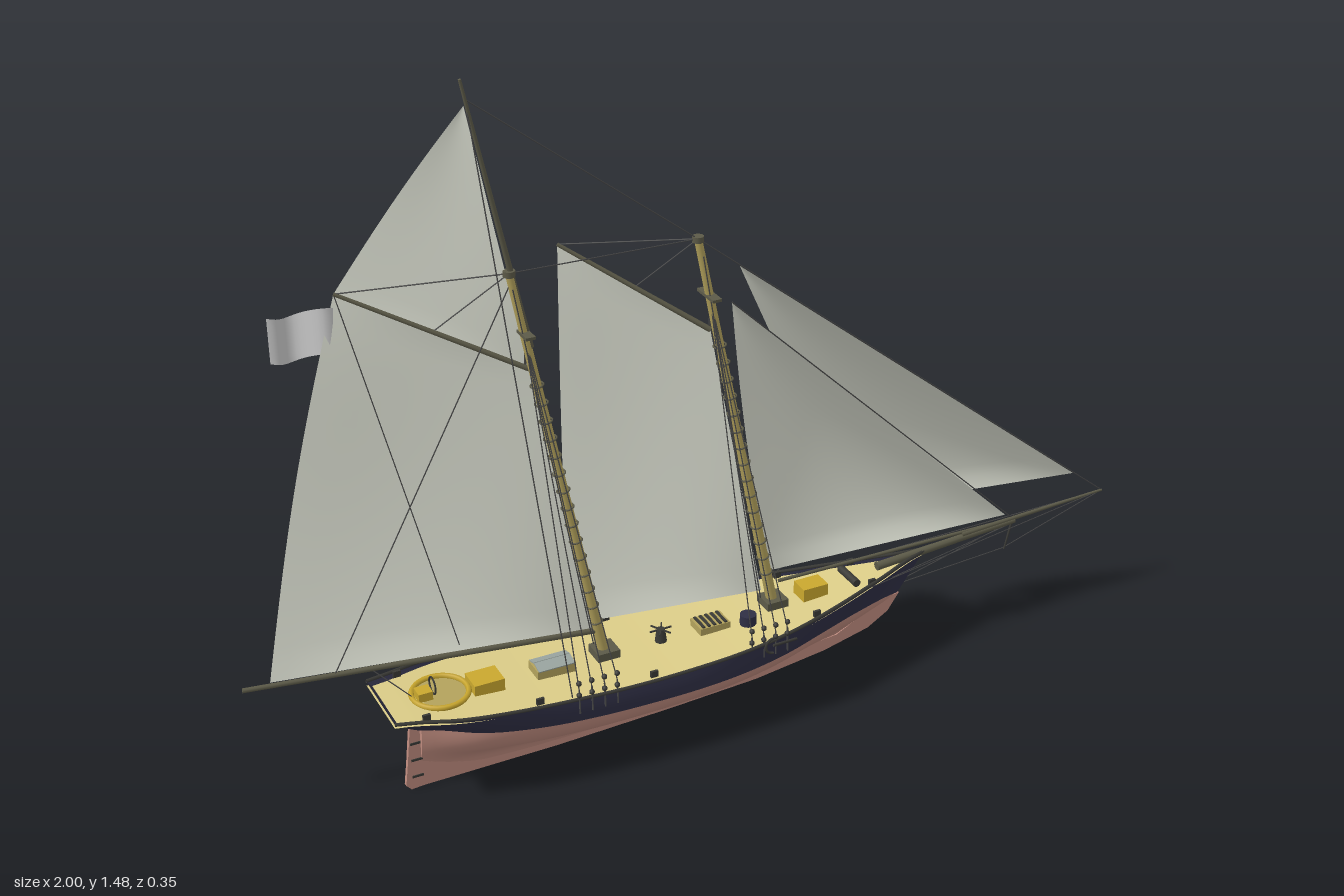
import * as THREE from 'three';

const V = (x, y, z = 0) => new THREE.Vector3(x, y, z);
const mat = (color) => new THREE.MeshStandardMaterial({ color, side: THREE.DoubleSide });
const lerp = THREE.MathUtils.lerp;
const M = {
  navy: mat(0x2f2f45), bottom: mat(0xbd8a7d), deck: mat(0xdccd88), spar: mat(0xb3a25c),
  darkSpar: mat(0x5c5a48), sail: mat(0xdcdfd2), rope: mat(0x4a4a4a), gold: mat(0xc9a72e),
  dark: mat(0x3a3a36), glass: mat(0x9aa5a0), grey: mat(0xcccccc),
};

// Smooth curve through evenly spaced values
function profile(values) {
  const c = new THREE.SplineCurve(values.map((v, i) => new THREE.Vector2(i, v)));
  return (t) => c.getPoint(t).y;
}

// Hull lines from stern (0) to bow (1)
const deckHalf = profile([.085, .118, .131, .137, .141, .140, .135, .118, .085, .045, .004]);
const waterHalf = profile([.018, .085, .12, .136, .142, .142, .132, .108, .07, .032, .003]);
const sheer = profile([.225, .215, .206, .2, .197, .197, .2, .206, .213, .223, .235]);
const keelY = profile([.03, .024, .02, .02, .022, .026, .03, .038, .052, .075, .125]);
const section = profile([.05, .12, .33, .62, .82, .94, 1]);
const WATER = 0.145;

export function createModel() {
  const root = new THREE.Group();
  root.name = 'schooner';
  const ship = new THREE.Group();
  ship.name = 'ship';
  ship.position.z = 0.043;
  root.add(ship);

  function add(name, geo, material, pos) {
    const m = new THREE.Mesh(geo, material);
    m.name = name;
    if (pos) m.position.copy(pos);
    ship.add(m);
    return m;
  }
  function surface(name, nu, nv, material, fn) {
    const g = new THREE.PlaneGeometry(1, 1, nu, nv);
    const p = g.attributes.position;
    for (let i = 0; i < p.count; i++) {
      const q = fn(p.getX(i) + 0.5, p.getY(i) + 0.5);
      p.setXYZ(i, q.x, q.y, q.z);
    }
    g.computeVertexNormals();
    return add(name, g, material);
  }
  function spar(name, a, b, r0, r1, material = M.spar, sides = 10) {
    const m = add(name, new THREE.CylinderGeometry(r1, r0, a.distanceTo(b), sides), material,
      a.clone().lerp(b, 0.5));
    m.quaternion.setFromUnitVectors(V(0, 1, 0), b.clone().sub(a).normalize());
    return m;
  }
  const rope = (name, a, b, r = 0.0013) => spar(name, a, b, r, r, M.rope, 4);
  const box = (name, x, y, z, w, h, d, material) =>
    add(name, new THREE.BoxGeometry(w, h, d), material, V(x, y, z));

  // Hull skin, raked at both ends
  const hullX = (s, y) => {
    const up = Math.max(0, y - WATER);
    const stern = -0.67 - up * 0.94;
    const stem = 0.455 + (y > WATER ? up * 0.72 : (y - WATER) * 0.7);
    return lerp(stern, stem, s);
  };
  const topside = (s, v) => {
    const y = lerp(WATER, sheer(s), v);
    const w = lerp(waterHalf(s), deckHalf(s), v) + 0.004 * Math.sin(Math.PI * v) * (1 - s);
    return V(hullX(s, y), y, w);
  };
  const underbody = (s, v) => {
    const y = lerp(keelY(s), WATER, v);
    return V(hullX(s, y), y, waterHalf(s) * section(v));
  };
  const flip = (p, k) => V(p.x, p.y, p.z * k);
  for (const k of [1, -1]) {
    const dir = (u) => (k > 0 ? u : 1 - u);
    surface('topsides', 48, 6, M.navy, (u, v) => flip(topside(dir(u), v), k));
    surface('underbody', 48, 12, M.bottom, (u, v) => flip(underbody(dir(u), v), k));
    // Rail cap
    const rail = Array.from({ length: 25 }, (_, i) => flip(topside(i / 24, 1), k));
    add('rail', new THREE.TubeGeometry(new THREE.CatmullRomCurve3(rail), 48, 0.004, 6), M.dark);
  }
  surface('transom', 4, 6, M.navy, (u, v) => flip(topside(0, v), 1 - 2 * u));
  surface('sternPost', 2, 6, M.bottom, (u, v) => flip(underbody(0, v), 1 - 2 * u));
  surface('deck', 48, 4, M.deck, (u, v) => {
    const p = topside(u, 1);
    return V(p.x, p.y - 0.010, (1 - 2 * v) * p.z * 0.98);
  });

  // Keel and rudder plates
  function plate(name, pts, depth, material) {
    const shape = new THREE.Shape(pts.map(([x, y]) => new THREE.Vector2(x, y)));
    add(name, new THREE.ExtrudeGeometry(shape, { depth, bevelEnabled: false }), material, V(0, 0, -depth / 2));
  }
  plate('keel', [[-.68, .002], [-.37, .004], [-.1, .014], [.1, .025], [.27, .048], [.38, .075], [.43, .105],
    [.458, .145], [.42, .14], [.3, .08], [0, .05], [-.5, .05], [-.675, .1]], 0.010, M.bottom);
  plate('rudder', [[-.67, .002], [-.695, 0], [-.706, .012], [-.7, .06], [-.69, .15], [-.66, .15]], 0.010, M.bottom);
  for (const y of [0.03, 0.07, 0.11]) box('rudderHinge', -0.68, y, 0, 0.024, 0.005, 0.014, M.dark);

  // Masts, bowsprit, gaffs and boom
  const mainFoot = V(-.257, .19), mainHead = V(-.432, 1.09);
  const foreFoot = V(.141, .2), foreHead = V(-.037, 1.085);
  const topFoot = V(-.395, .93), topHead = V(-.51, 1.48);
  const mainPeak = V(-.727, 1.048, -.15), forePeak = V(-.27, 1.062, -.15);
  const mainThroat = V(-.395, .88, -.01), foreThroat = V(-.005, .88, -.01);
  const boomEnd = V(-1, .295, -.062), spritEnd = V(1, .265);
  spar('mainMast', mainFoot, mainHead, .012, .008);
  spar('foreMast', foreFoot, foreHead, .012, .008);
  spar('topMast', topFoot, topHead, .007, .003, M.darkSpar);
  spar('bowsprit', V(.40, .225), V(.76, .248), .010, .007, M.darkSpar);
  spar('jibBoom', V(.62, .247), spritEnd, .006, .003, M.darkSpar);
  spar('mainBoom', V(-.275, .258), boomEnd, .007, .005, M.darkSpar);
  spar('mainGaff', mainThroat, mainPeak, .006, .004, M.darkSpar);
  spar('foreGaff', foreThroat, forePeak, .006, .004, M.darkSpar);
  spar('jibClub', V(.16, .25, -.01), V(.76, .252), .004, .004, M.darkSpar);

  for (const [foot, head] of [[mainFoot, mainHead], [foreFoot, foreHead]]) {
    const dir = head.clone().sub(foot).normalize();
    // Sail hoops
    for (let i = 0; i < 15; i++) {
      const h = add('mastHoop', new THREE.TorusGeometry(.013, .002, 5, 12), M.darkSpar,
        foot.clone().lerp(head, .1 + i * .045));
      h.quaternion.setFromUnitVectors(V(0, 0, 1), dir);
    }
    add('mastCap', new THREE.CylinderGeometry(.012, .012, .012, 10), M.darkSpar, head);
    const c = foot.clone().lerp(head, .86);
    box('crosstree', c.x, c.y, 0, .02, .006, .07, M.darkSpar);
    box('mastCollar', foot.x, foot.y + .012, 0, .05, .018, .05, M.darkSpar);
    // Shrouds with deadeyes
    for (const k of [1, -1]) for (let i = 0; i < 4; i++) {
      const z = (foot === mainFoot ? .139 : .128) * k;
      const low = V(foot.x - .035 - i * .028, .225, z);
      rope('shroud', low, foot.clone().lerp(head, .85));
      rope('chainplate', V(low.x, .17, z * 1.02), low, .002);
      for (const y of [.212, .24]) add('deadeye', new THREE.SphereGeometry(.006, 8, 6), M.dark, V(low.x, y, z));
    }
  }

  // Sails: corners tack, clew, peak, throat; leech bow and belly push to leeward
  function sail(name, tack, clew, peak, throat, bow, belly, hollow = 0) {
    surface(name, 20, 24, M.sail, (u, v) => {
      const p = tack.clone().lerp(clew, u).lerp(throat.clone().lerp(peak, u), v);
      const sv = Math.sin(Math.PI * v);
      p.z -= bow * u * sv + belly * Math.sin(Math.PI * u) * Math.sqrt(Math.max(0, sv)) * (1 - v * .5);
      p.x += hollow * u * sv;
      return p;
    });
  }
  const topsailHead = V(-.505, 1.43);
  const jibHead = V(.055, 1.01), stayHead = V(.038, .935);
  sail('mainSail', V(-.283, .265), V(-.945, .298, -.06), mainPeak, mainThroat, .035, .03);
  sail('foreSail', V(.112, .245), V(-.31, .245, -.062), forePeak, foreThroat, .035, .025, .012);
  sail('topSail', mainThroat, mainPeak, topsailHead, topsailHead, .03, .01, .012);
  sail('innerJib', V(.735, .268), V(.145, .268, -.03), stayHead, stayHead, .02, .045);
  sail('outerJib', V(.915, .33), V(.4, .33, -.085), jibHead, jibHead, .02, .04);

  // Flag at the gaff peak
  surface('flag', 14, 6, M.grey, (u, v) => V(-.725 - u * .12,
    lerp(.925, 1.02, v) - u * .025 + .008 * Math.sin(u * 7), -.15 - u * .065 + .012 * Math.sin(u * 8)));

  // Standing and running rigging
  const pairs = [
    [V(-.5, 1.44), foreHead], [mainHead, foreHead], [foreHead, spritEnd], [stayHead, V(.76, .25)],
    [V(-.43, 1.07), V(-.82, .285, -.045)], [mainPeak, V(-.56, .28, -.03)],
    [mainHead, mainPeak], [mainHead, mainPeak.clone().lerp(mainThroat, .5)],
    [foreHead, forePeak], [foreHead, forePeak.clone().lerp(foreThroat, .5)],
    [V(-.43, 1.06, .01), V(-.29, .24, .02)], [V(-.03, 1.05, .01), V(.1, .24, .02)],
    [V(-.75, .285, -.04), V(-.68, .22)], [V(.4, .33, -.085), V(.2, .22, -.09)],
    [spritEnd, V(.735, .182)], [V(.735, .182), V(.47, .165)], [V(.76, .247), V(.475, .175)],
  ];
  pairs.forEach(([a, b]) => rope('rigging', a, b));
  spar('dolphinStriker', V(.755, .248), V(.738, .178), .003, .002, M.dark, 6);
  for (const k of [1, -1]) {
    rope('bowspritGuy', spritEnd, V(.33, .215, .06 * k));
    rope('bowspritGuy', V(.75, .24), V(.42, .21, .035 * k));
    rope('backstay', V(-.5, 1.43), V(-.39, .21, .137 * k));
    // Anchors lashed on the bow sides
    const shank = V(.07, .195, .134 * k);
    spar('anchorShank', shank, V(.13, .19, .126 * k), .003, .003, M.dark, 6);
    const arms = add('anchorArms', new THREE.TorusGeometry(.018, .003, 5, 10, Math.PI), M.dark, shank);
    arms.rotation.z = Math.PI / 2;
  }

  // Deck furniture
  const cockpit = add('cockpitCoaming', new THREE.TorusGeometry(.058, .006, 6, 28), M.gold, V(-.62, .212, 0));
  cockpit.rotation.x = Math.PI / 2;
  add('cockpitFloor', new THREE.CylinderGeometry(.055, .055, .004, 28), M.spar, V(-.62, .207, 0));
  const wheel = add('wheel', new THREE.TorusGeometry(.018, .002, 5, 16), M.dark, V(-.635, .232, 0));
  wheel.rotation.y = Math.PI / 2;
  box('wheelBox', -.655, .218, 0, .03, .02, .03, M.gold);
  box('companionway', -.525, .209, .005, .065, .03, .055, M.gold);
  box('skylight', -.375, .2, 0, .085, .022, .05, M.spar);
  for (const k of [1, -1]) {
    const pane = box('skylightPane', -.375, .214, .013 * k, .08, .003, .026, M.glass);
    pane.rotation.x = .3 * k;
  }
  add('capstan', new THREE.CylinderGeometry(.009, .013, .03, 10), M.dark, V(-.127, .203, 0));
  for (let i = 0; i < 3; i++) {
    const bar = box('capstanBar', -.127, .216, 0, .05, .003, .003, M.dark);
    bar.rotation.y = i * Math.PI / 3;
  }
  box('hatch', -.01, .197, 0, .07, .016, .05, M.spar);
  for (let i = 0; i < 5; i++) box('hatchSlat', -.036 + i * .013, .206, 0, .006, .004, .046, M.dark);
  add('waterCask', new THREE.CylinderGeometry(.018, .018, .025, 14), M.navy, V(.065, .203, .03));
  box('foreCabin', .235, .214, 0, .06, .032, .045, M.gold);
  const drum = spar('windlass', V(.33, .22, -.035), V(.33, .22, .035), .009, .009, M.dark, 10);
  drum.name = 'windlass';
  for (const k of [1, -1]) for (const x of [-.68, -.45, -.2, .2, .36])
    box('bollard', x, sheer((x + .745) / 1.265) + .002, deckHalf((x + .745) / 1.265) * .85 * k, .016, .014, .006, M.dark);
  return root;
}
